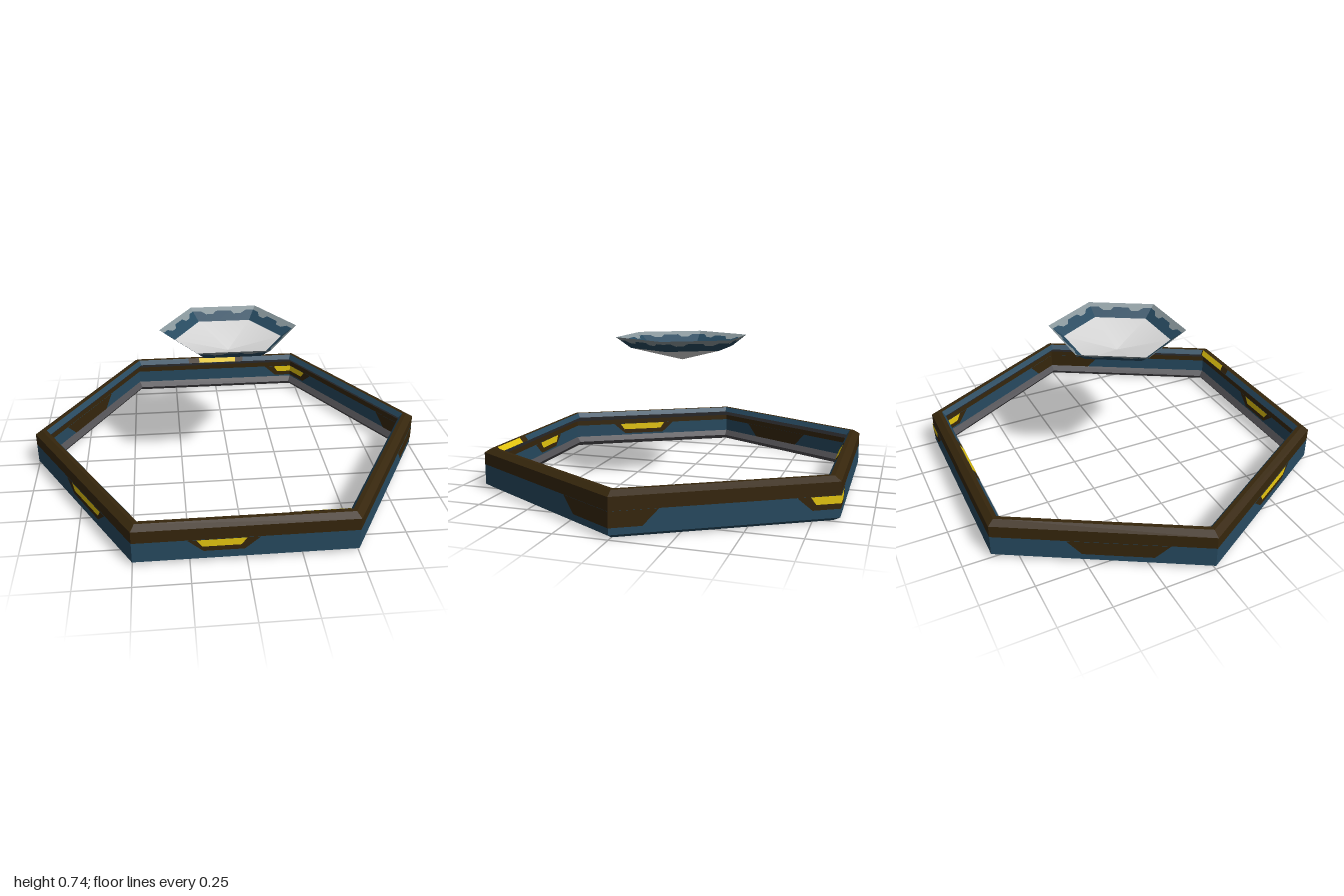
import * as THREE from 'three';

const paint = (name, color) => {
  const m = new THREE.MeshStandardMaterial({ color, side: THREE.DoubleSide });
  m.name = name;
  return m;
};

// Point on hexagon side i: s runs along the side, r is the corner radius
function hexPoint(i, s, r, y) {
  const a = (i * Math.PI) / 3, b = ((i + 1) * Math.PI) / 3;
  return [
    r * (Math.cos(a) * (1 - s) + Math.cos(b) * s), y,
    r * (Math.sin(a) * (1 - s) + Math.sin(b) * s),
  ];
}

// Flat polygons, each a fan of corners [side, s, r, y]
function facets(name, material, polygons) {
  const out = [];
  for (const poly of polygons) {
    const p = poly.map((c) => hexPoint(...c));
    for (let k = 1; k < p.length - 1; k++) out.push(...p[0], ...p[k + 1], ...p[k]);
  }
  const g = new THREE.BufferGeometry();
  g.setAttribute('position', new THREE.Float32BufferAttribute(out, 3));
  g.computeVertexNormals();
  const mesh = new THREE.Mesh(g, material);
  mesh.name = name;
  return mesh;
}

// Six-sided band between two profile points [r, y]
function band(name, material, [r0, y0], [r1, y1]) {
  const polys = [];
  for (let i = 0; i < 6; i++) {
    polys.push([[i, 0, r0, y0], [i, 1, r0, y0], [i, 1, r1, y1], [i, 0, r1, y1]]);
  }
  return facets(name, material, polys);
}

// Trapezoid hanging from yTop, tapered except where it meets a corner
function tab(side, a, b, r, yTop, yBottom, inset) {
  const a2 = a === 0 ? 0 : a + inset, b2 = b === 1 ? 1 : b - inset;
  return [[side, a2, r, yBottom], [side, b2, r, yBottom], [side, b, r, yTop], [side, a, r, yTop]];
}

export function createModel() {
  const brown = paint('dark brown', 0x36260c);
  const blue = paint('slate blue', 0x274a60);
  const yellow = paint('signal yellow', 0xe8c810);
  const grey = paint('lip grey', 0x4f4e52);
  const rimGrey = paint('rim grey', 0x87959a);
  const pale = paint('pale grey', 0xd8d8d8);

  const model = new THREE.Group();
  const ring = new THREE.Group();
  ring.name = 'hexagonRing';
  const dish = new THREE.Group();
  dish.name = 'floatingDish';
  model.add(ring, dish);

  // Ring cross-section, outside first and then round the inside
  const split = 0.12, inner = 0.953;
  ring.add(
    band('bottomFace', blue, [0.945, 0], [0.965, 0]),
    band('outerBottomBevel', blue, [0.965, 0], [1, 0.02]),
    band('outerLowerWall', blue, [1, 0.02], [1, split]),
    band('outerUpperWall', brown, [1, split], [1, 0.18]),
    band('outerTopBevel', brown, [1, 0.18], [0.965, 0.2]),
    band('topFace', brown, [0.965, 0.2], [0.943, 0.2]),
    band('innerTopBevel', blue, [0.943, 0.2], [0.924, 0.175]),
    band('upperLip', grey, [0.924, 0.175], [inner, 0.148]),
    band('innerUpperWall', brown, [inner, 0.148], [inner, split]),
    band('innerLowerWall', blue, [inner, split], [inner, 0.05]),
    band('lowerLip', grey, [inner, 0.05], [0.924, 0.023]),
    band('innerBottomBevel', grey, [0.924, 0.023], [0.945, 0]),
  );

  // Painted tabs: side, start, end, and the span of the lamp if there is one
  const tabs = [
    [0, 0, 0.31],
    [1, 0.44, 0.76, 0.5, 0.72],
    [2, 0.24, 0.63, 0.28, 0.57],
    [3, 0.2, 0.66],
    [4, 0.83, 1, 0.89, 1],
    [5, 0, 0.2, 0, 0.14],
    [5, 0.79, 1],
  ];
  for (const [label, r, d] of [['outer', 1, 0.002], ['inner', inner, -0.002]]) {
    ring.add(facets(label + 'Tabs', brown, tabs.map(([i, a, b, lamp]) =>
      tab(i, a, b, r + d, split, lamp === undefined ? 0.05 : 0.06, 0.07))));
    ring.add(facets(label + 'Lamps', yellow, tabs.filter((t) => t.length > 3).map(([i, , , a, b]) =>
      tab(i, a, b, r + 2 * d, split, 0.085, 0.025))));
  }

  // Paint on the inner top bevel
  const bevelPatch = (i, a, b, lift) => [
    [i, a, 0.924 - lift, 0.175 + lift], [i, b, 0.924 - lift, 0.175 + lift],
    [i, b, 0.943 - lift, 0.2 + lift], [i, a, 0.943 - lift, 0.2 + lift],
  ];
  ring.add(
    facets('bevelTabs', brown, [bevelPatch(4, 0.32, 0.68, 0.001), bevelPatch(1, 0, 0.3, 0.001)]),
    facets('bevelLamps', yellow, [bevelPatch(4, 0.39, 0.63, 0.002), bevelPatch(1, 0.01, 0.24, 0.002)]),
  );

  // Dish flange, split by a stepped line into a blue band and a grey rim
  const low = [0.265, 0.68], high = [0.34, 0.735];
  const steps = [[0, 0.72], [0.13, 0.72], [0.2, 0.5], [0.32, 0.5], [0.38, 0.72],
    [0.62, 0.72], [0.68, 0.5], [0.8, 0.5], [0.87, 0.72], [1, 0.72]];
  const at = (i, s, f) => [i, s, low[0] + (high[0] - low[0]) * f, low[1] + (high[1] - low[1]) * f];
  const blueParts = [], rimParts = [];
  for (let i = 0; i < 6; i++) {
    for (let k = 0; k < steps.length - 1; k++) {
      const [s0, f0] = steps[k], [s1, f1] = steps[k + 1];
      blueParts.push([at(i, s0, 0), at(i, s1, 0), at(i, s1, f1), at(i, s0, f0)]);
      rimParts.push([at(i, s0, f0), at(i, s1, f1), at(i, s1, 1), at(i, s0, 1)]);
    }
  }
  dish.add(facets('dishFlange', blue, blueParts), facets('dishRim', rimGrey, rimParts));

  // Shallow six-sided bowl, smooth shaded
  const bowl = new THREE.Mesh(
    new THREE.LatheGeometry([new THREE.Vector2(0, 0.615), new THREE.Vector2(...low)], 6, Math.PI / 2),
    pale,
  );
  bowl.name = 'dishBowl';
  dish.add(bowl);

  return model;
}
